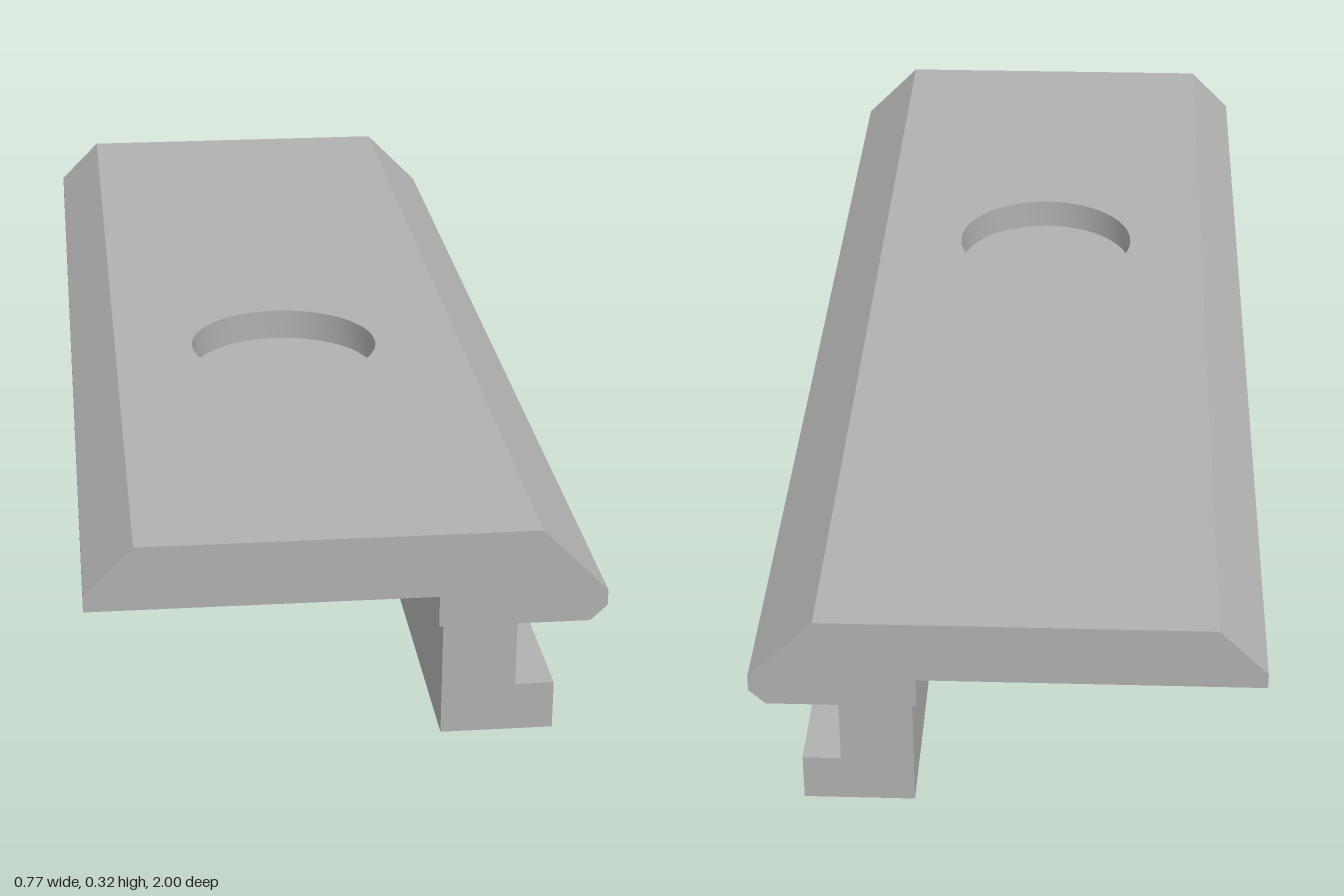
import * as THREE from 'three';
import { toCreasedNormals } from 'three/addons/utils/BufferGeometryUtils.js';

const HALF = 1; // half the rail length
const TOP = 0.325;
const HOLE = { x: -0.02, z: 0.22, r: 0.158, depth: 0.052 };

// Rail cross-section, counter-clockwise, starting at the foot
const profile = [
  [0.14, 0], [0.308, 0], [0.308, 0.075], [0.25, 0.075], [0.25, 0.176],
  [0.358, 0.176], [0.383, 0.2], [0.383, 0.225], [0.283, TOP], [-0.31, TOP],
  [-0.384, 0.25], [-0.384, 0.225], [0.134, 0.225], [0.134, 0.176], [0.14, 0.176],
];
const toShape = (pts) => new THREE.Shape(pts.map(([x, y]) => new THREE.Vector2(x, y)));

// Long faces along z for every profile edge but the top one
function wallGeometry() {
  const positions = [];
  profile.forEach(([ax, ay], i) => {
    const [bx, by] = profile[(i + 1) % profile.length];
    if (ay === TOP && by === TOP) return;
    positions.push(
      ax, ay, HALF, ax, ay, -HALF, bx, by, -HALF,
      ax, ay, HALF, bx, by, -HALF, bx, by, HALF,
    );
  });
  const geometry = new THREE.BufferGeometry();
  geometry.setAttribute('position', new THREE.Float32BufferAttribute(positions, 3));
  geometry.computeVertexNormals();
  return geometry;
}

// Top face, cut open around the round recess
function topGeometry() {
  const shape = toShape([[-0.31, -HALF], [0.283, -HALF], [0.283, HALF], [-0.31, HALF]]);
  shape.holes.push(new THREE.Path().absarc(HOLE.x, -HOLE.z, HOLE.r, 0, Math.PI * 2, true));
  return new THREE.ShapeGeometry(shape, 32).rotateX(-Math.PI / 2).translate(0, TOP, 0);
}

// Wall and floor of the blind recess
function recessGeometry() {
  const points = [[HOLE.r, 0], [HOLE.r, -HOLE.depth], [0, -HOLE.depth]]
    .map(([r, y]) => new THREE.Vector2(r, y));
  const geometry = toCreasedNormals(new THREE.LatheGeometry(points, 64), Math.PI / 6);
  return geometry.translate(HOLE.x, TOP, HOLE.z);
}

export function createModel() {
  const grey = new THREE.MeshStandardMaterial({ color: 0xb0b0b0 });
  grey.name = 'grey';
  const group = new THREE.Group();
  group.name = 'rail';
  const add = (name, geometry) => {
    const mesh = new THREE.Mesh(geometry, grey);
    mesh.name = name;
    group.add(mesh);
  };

  add('railSides', wallGeometry());
  add('frontEnd', new THREE.ShapeGeometry(toShape(profile)).translate(0, 0, HALF));
  // The back end is drawn mirrored, then turned to face -z
  const mirrored = profile.map(([x, y]) => [-x, y]).reverse();
  add('backEnd', new THREE.ShapeGeometry(toShape(mirrored)).rotateY(Math.PI).translate(0, 0, -HALF));
  add('topFace', topGeometry());
  add('roundRecess', recessGeometry());
  return group;
}
